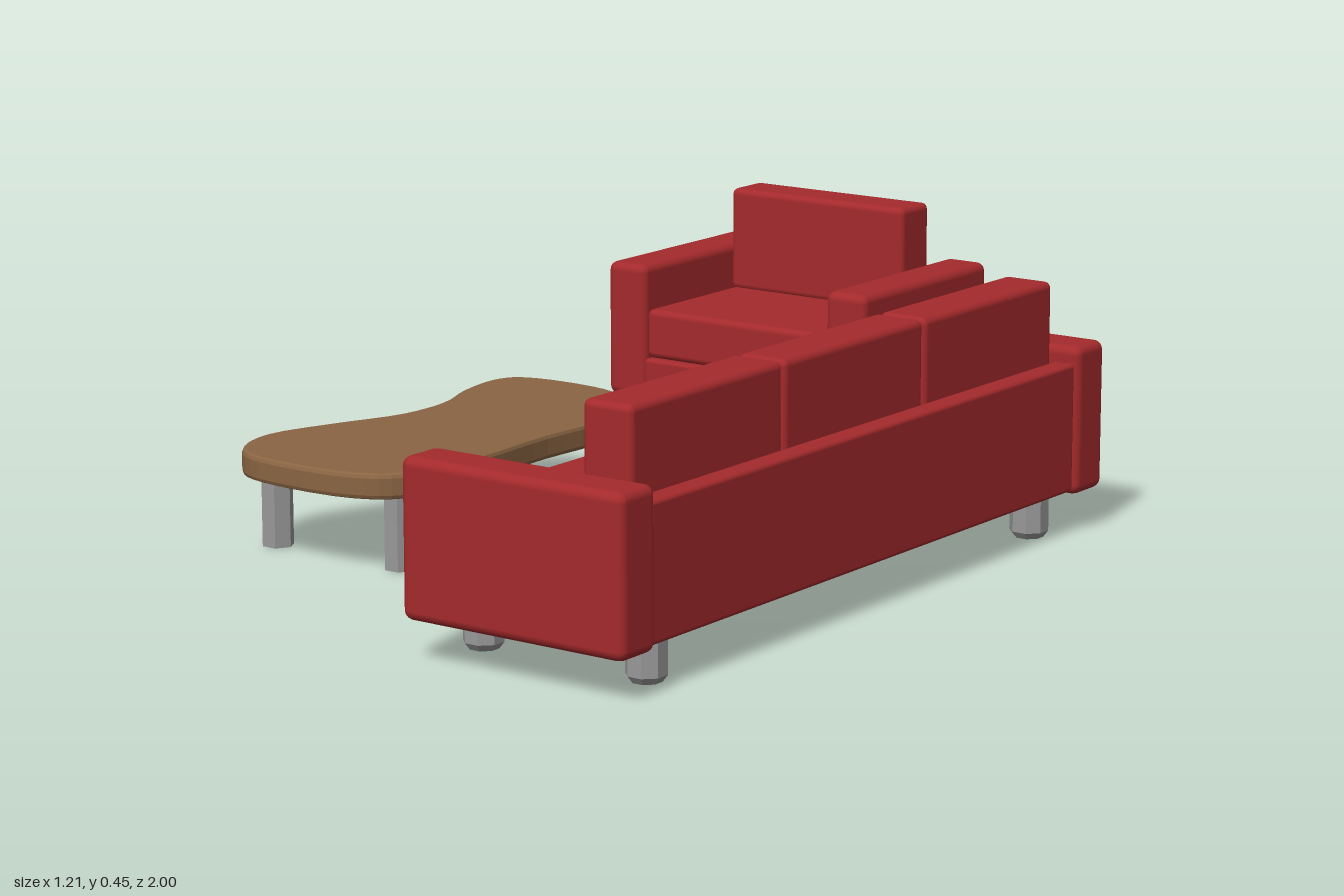
import * as THREE from 'three';
import { RoundedBoxGeometry } from 'three/addons/geometries/RoundedBoxGeometry.js';

const red = new THREE.MeshStandardMaterial({ color: 0xa52a2c });
red.name = 'red upholstery';
const wood = new THREE.MeshStandardMaterial({ color: 0x8a6543 });
wood.name = 'brown wood';
const metal = new THREE.MeshStandardMaterial({ color: 0x999999 });
metal.name = 'grey metal';

function add(parent, name, geometry, material) {
  const mesh = new THREE.Mesh(geometry, material);
  mesh.name = name;
  parent.add(mesh);
  return mesh;
}

// Soft-edged block given by its minimum and maximum corners
function block(parent, name, x0, x1, y0, y1, z0, z1, radius = 0.013) {
  const geo = new RoundedBoxGeometry(x1 - x0, y1 - y0, z1 - z0, 2, radius);
  add(parent, name, geo, red).position.set((x0 + x1) / 2, (y0 + y1) / 2, (z0 + z1) / 2);
}

// Faceted stubby foot with a narrowed lower rim
function foot(parent, x, z, height) {
  const profile = [[0, 0], [0.026, 0], [0.035, 0.012], [0.035, height], [0, height]];
  const geo = new THREE.LatheGeometry(profile.map(p => new THREE.Vector2(...p)), 8, Math.PI / 8).toNonIndexed();
  geo.computeVertexNormals();
  add(parent, 'foot', geo, metal).position.set(x, 0, z);
}

// Armchair or sofa, facing +z and centred on its own origin
function makeSeat(name, o) {
  const g = new THREE.Group();
  g.name = name;
  const w = o.width / 2, d = o.depth / 2, inner = w - o.arm;
  const back = -d + 0.009, panelFront = back + 0.043;

  block(g, 'leftArm', inner, w, o.bottom, o.armTop, -d, d, 0.017);
  block(g, 'rightArm', -w, -inner, o.bottom, o.armTop, -d, d, 0.017);
  block(g, 'base', -inner - 0.005, inner + 0.005, o.bottom + 0.007, o.seatBottom - 0.003, back, d - 0.004, 0.008);
  block(g, 'backPanel', -inner - 0.005, inner + 0.005, o.bottom + 0.007, o.panelTop, back, panelFront, 0.008);

  // Matching seat and back cushions
  const pitch = o.cushionSpan / o.cushions;
  for (let i = 0; i < o.cushions; i++) {
    const x0 = o.shift - o.cushionSpan / 2 + i * pitch + 0.001;
    const x1 = x0 + pitch - 0.002;
    block(g, 'seatCushion', x0, x1, o.seatBottom, o.seatTop, panelFront, d);
    block(g, 'backCushion', x0, x1, o.seatTop - 0.005, o.backTop, panelFront, panelFront + 0.097);
  }

  for (const sx of [-1, 1]) for (const sz of [-1, 1]) {
    foot(g, sx * o.footX, 0.006 + sz * 0.164, o.bottom + 0.012);
  }
  return g;
}

// Kidney-shaped table with a thin bevelled top
function makeTable() {
  const g = new THREE.Group();
  g.name = 'coffeeTable';
  const outline = [
    [-0.513, -0.08], [-0.495, -0.125], [-0.445, -0.148], [-0.30, -0.148], [-0.235, -0.122],
    [-0.18, -0.065], [-0.147, 0.01], [-0.138, 0.08], [-0.145, 0.22], [-0.139, 0.36],
    [-0.138, 0.50], [-0.149, 0.565], [-0.185, 0.62], [-0.26, 0.652], [-0.44, 0.652],
    [-0.50, 0.628], [-0.54, 0.572], [-0.554, 0.50], [-0.515, 0.37], [-0.468, 0.25],
    [-0.461, 0.17], [-0.470, 0.10], [-0.499, 0.02],
  ];
  const curve = new THREE.CatmullRomCurve3(outline.map(([x, z]) => new THREE.Vector3(x, -z, 0)), true);
  const shape = new THREE.Shape(curve.getPoints(72).slice(0, -1).map(p => new THREE.Vector2(p.x, p.y)));
  const bevel = 0.008;
  const top = new THREE.ExtrudeGeometry(shape, {
    depth: 0.046 - 2 * bevel, bevelEnabled: true, bevelThickness: bevel,
    bevelSize: bevel, bevelOffset: -bevel, bevelSegments: 2,
  });
  top.rotateX(-Math.PI / 2);
  add(g, 'tableTop', top, wood).position.y = 0.14 + bevel;

  // Hexagonal legs
  const leg = new THREE.CylinderGeometry(0.029, 0.029, 0.142, 6).rotateY(Math.PI / 6).toNonIndexed();
  leg.computeVertexNormals();
  for (const [x, z] of [[-0.495, 0.545], [-0.215, 0.545], [-0.46, -0.05], [-0.215, -0.05]]) {
    add(g, 'tableLeg', leg, metal).position.set(x, 0.071, z);
  }
  return g;
}

export function createModel() {
  const model = new THREE.Group();
  model.name = 'livingRoomSet';

  const chair = makeSeat('armchair', {
    width: 0.607, depth: 0.433, arm: 0.091, bottom: 0.06, armTop: 0.325, panelTop: 0.295,
    seatBottom: 0.143, seatTop: 0.24, backTop: 0.44,
    cushions: 1, cushionSpan: 0.411, shift: -0.004, footX: 0.158,
  });
  chair.position.set(-0.3035, 0, -0.7835);

  const sofa = makeSeat('sofa', {
    width: 1.436, depth: 0.442, arm: 0.093, bottom: 0.07, armTop: 0.34, panelTop: 0.31,
    seatBottom: 0.152, seatTop: 0.25, backTop: 0.455,
    cushions: 3, cushionSpan: 1.246, shift: 0.002, footX: 0.57,
  });
  sofa.rotation.y = -Math.PI / 2;
  sofa.position.set(0.384, 0, 0.282);

  model.add(chair, sofa, makeTable());
  return model;
}
